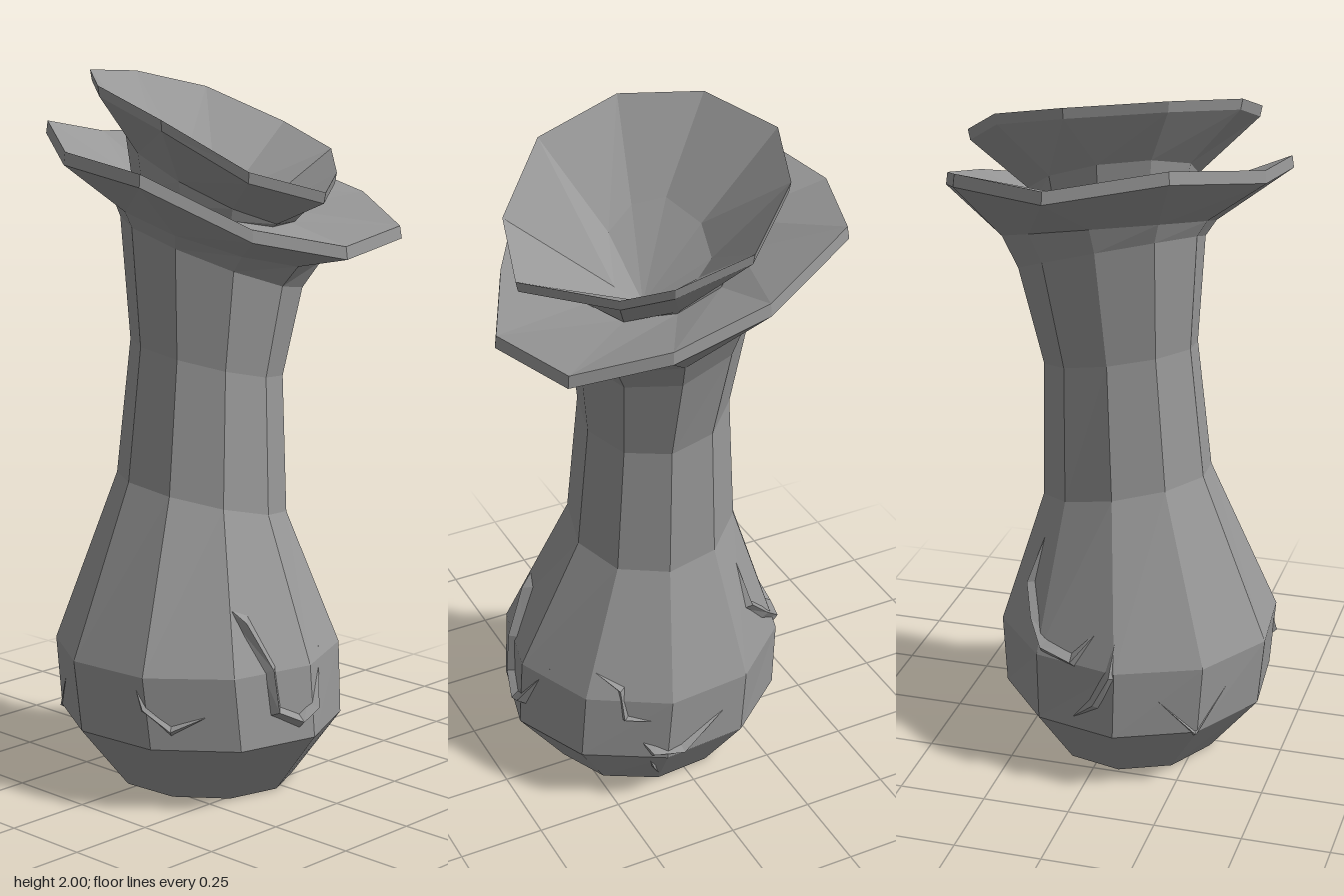
import * as THREE from 'three';

const N = 10; // sides of every ring
const PHASE = 5; // degrees from +z to the first corner

// Tilted elliptical ring of corners, running from the front towards +x
function ring(y, cx, cz, rx, rz, tiltX = 0, tiltZ = 0) {
  return Array.from({ length: N }, (_, i) => {
    const a = THREE.MathUtils.degToRad(PHASE + (i * 360) / N);
    const x = Math.sin(a) * rx, z = Math.cos(a) * rz;
    return new THREE.Vector3(cx + x, y + tiltX * x + tiltZ * z, cz + z);
  });
}

const corners = (list) => list.map((p) => new THREE.Vector3(...p));
const shifted = (r, dy, scale) =>
  r.map((p) => new THREE.Vector3(p.x * scale, p.y + dy, p.z * scale));

// Skin over a stack of cross-sections, with optional fans closing the ends
function loft(rings, { closed = true, startCap = null, endCap = null } = {}) {
  const pos = [];
  const tri = (...pts) => pts.forEach((p) => pos.push(p.x, p.y, p.z));
  const n = rings[0].length, sides = closed ? n : n - 1;
  for (let j = 0; j < rings.length - 1; j++) {
    for (let i = 0; i < sides; i++) {
      const k = (i + 1) % n;
      const a = rings[j][i], b = rings[j][k], c = rings[j + 1][k], d = rings[j + 1][i];
      tri(a, b, c);
      tri(a, c, d);
    }
  }
  const last = rings[rings.length - 1];
  for (let i = 0; i < n; i++) {
    const k = (i + 1) % n;
    if (startCap) tri(startCap, rings[0][k], rings[0][i]);
    if (endCap) tri(endCap, last[i], last[k]);
  }
  const g = new THREE.BufferGeometry();
  g.setAttribute('position', new THREE.Float32BufferAttribute(pos, 3));
  g.computeVertexNormals();
  return g;
}

export function createModel() {
  const group = new THREE.Group();
  const mat = new THREE.MeshStandardMaterial({
    color: 0x989898, flatShading: true, side: THREE.DoubleSide,
  });
  const add = (name, geometry) => {
    const m = new THREE.Mesh(geometry, mat);
    m.name = name;
    group.add(m);
  };

  // Bulb and neck
  const bulb = [
    ring(0, -0.05, 0.03, 0.25, 0.27),
    ring(0.185, -0.06, 0.03, 0.39, 0.41),
    ring(0.39, -0.065, 0.02, 0.405, 0.405),
    ring(0.815, -0.03, 0.005, 0.242, 0.24, -0.21, -0.12),
  ];
  const neck = [
    ring(1.2, -0.01, 0.005, 0.218, 0.212, -0.19, -0.15),
    ring(1.495, 0.015, 0.0, 0.262, 0.25, -0.27, -0.28),
  ];
  add('body', loft([...bulb, ...neck], { startCap: new THREE.Vector3(-0.05, 0, 0.03) }));

  // Wide lower lip, tilted down to the front
  const lip = corners([
    [0.03, 1.515, 0.49], [0.34, 1.54, 0.42], [0.46, 1.61, 0.18], [0.46, 1.68, -0.1],
    [0.33, 1.77, -0.4], [0.06, 1.77, -0.49], [-0.25, 1.82, -0.39], [-0.44, 1.76, -0.11],
    [-0.45, 1.72, 0.19], [-0.21, 1.57, 0.37],
  ]);
  const throat = ring(1.645, 0.01, 0, 0.22, 0.22, -0.12, -0.28);
  add('lowerLip', loft([
    neck[1],
    ring(1.56, 0.025, 0.01, 0.3, 0.285, -0.16, -0.28),
    lip,
    shifted(lip, 0.035, 0.99),
    throat,
  ]));

  // Upper cup on a short collar, its hollow twisting down to the front
  const rim = corners([
    [0.02, 1.69, 0.42], [0.27, 1.715, 0.24], [0.37, 1.77, 0.13], [0.4, 1.835, -0.08],
    [0.26, 1.935, -0.26], [0.05, 1.985, -0.335], [-0.21, 2.0, -0.25], [-0.36, 1.97, -0.06],
    [-0.36, 1.89, 0.18], [-0.21, 1.755, 0.355],
  ]);
  const hollow = [
    [0.08, 0.12], [0.12, 0.07], [0.16, 0.03], [0.15, -0.05], [0.13, -0.1],
    [0.03, -0.12], [-0.1, -0.08], [-0.15, 0], [-0.13, 0.08], [0.01, 0.13],
  ].map(([x, z]) => new THREE.Vector3(x, 1.68 - 0.4 * x - 0.6 * z, z));
  add('upperCup', loft([
    throat,
    ring(1.7, 0.01, 0, 0.235, 0.235, -0.25, -0.45),
    shifted(rim, -0.03, 0.985),
    rim,
    hollow,
  ], { endCap: new THREE.Vector3(0.06, 1.56, 0.07) }));

  // Point on the bulb at a compass angle (0 = front, 90 = +x) and height
  const levels = [0, 0.185, 0.39, 0.815];
  function surface(angle, y) {
    const u = (((angle - PHASE) / 360) * N + N) % N;
    const i = Math.floor(u), k = (i + 1) % N;
    const j = y < levels[1] ? 0 : y < levels[2] ? 1 : 2;
    const t = (y - levels[j]) / (levels[j + 1] - levels[j]);
    const low = bulb[j][i].clone().lerp(bulb[j][k], u - i);
    const high = bulb[j + 1][i].clone().lerp(bulb[j + 1][k], u - i);
    return low.lerp(high, t);
  }

  // Small chipped ridges lying on the bulb
  function ridge(name, path, height = 0.02, width = 0.024) {
    const deg = 140; // degrees per unit along the bulb
    const sections = path.map(([a, y], i) => {
      const [a0, y0] = path[Math.max(i - 1, 0)];
      const [a1, y1] = path[Math.min(i + 1, path.length - 1)];
      const dir = new THREE.Vector2((a1 - a0) / deg, y1 - y0).normalize();
      const end = i === 0 || i === path.length - 1;
      const w = end ? width * 0.3 : width;
      const at = (s, h) => {
        const p = surface(a - s * dir.y * w * deg, y + s * dir.x * w);
        const r = THREE.MathUtils.degToRad(a);
        return p.add(new THREE.Vector3(Math.sin(r) * h, 0, Math.cos(r) * h));
      };
      return [at(-1, -0.006), at(0, end ? 0 : height), at(1, -0.006)];
    });
    add(name, loft(sections, { closed: false }));
  }
  ridge('frontRidge', [[-30, 0.56], [-24, 0.53], [-14, 0.4], [-13, 0.28], [-2, 0.24], [6, 0.27], [19, 0.42]]);
  ridge('leftRidge', [[66, 0.24], [71, 0.21], [84, 0.2], [103, 0.29]]);
  ridge('leftCrack', [[68, 0.2], [72, 0.11], [78, 0.02]], 0.01, 0.012);
  ridge('leftChip', [[42, 0.48], [55, 0.43], [58, 0.33], [70, 0.32]], 0.015, 0.015);
  ridge('backLeftRidge', [[133, 0.72], [131, 0.56], [142, 0.48], [152, 0.42], [166, 0.4], [176, 0.48]]);
  ridge('backChip', [[186, 0.48], [183, 0.38], [176, 0.28], [166, 0.22]], 0.015);
  ridge('backRidge', [[200, 0.32], [220, 0.18], [240, 0.33]], 0.012, 0.015);
  ridge('rightRidge', [[284, 0.42], [292, 0.3], [302, 0.24], [316, 0.28]], 0.012, 0.018);

  return group;
}
